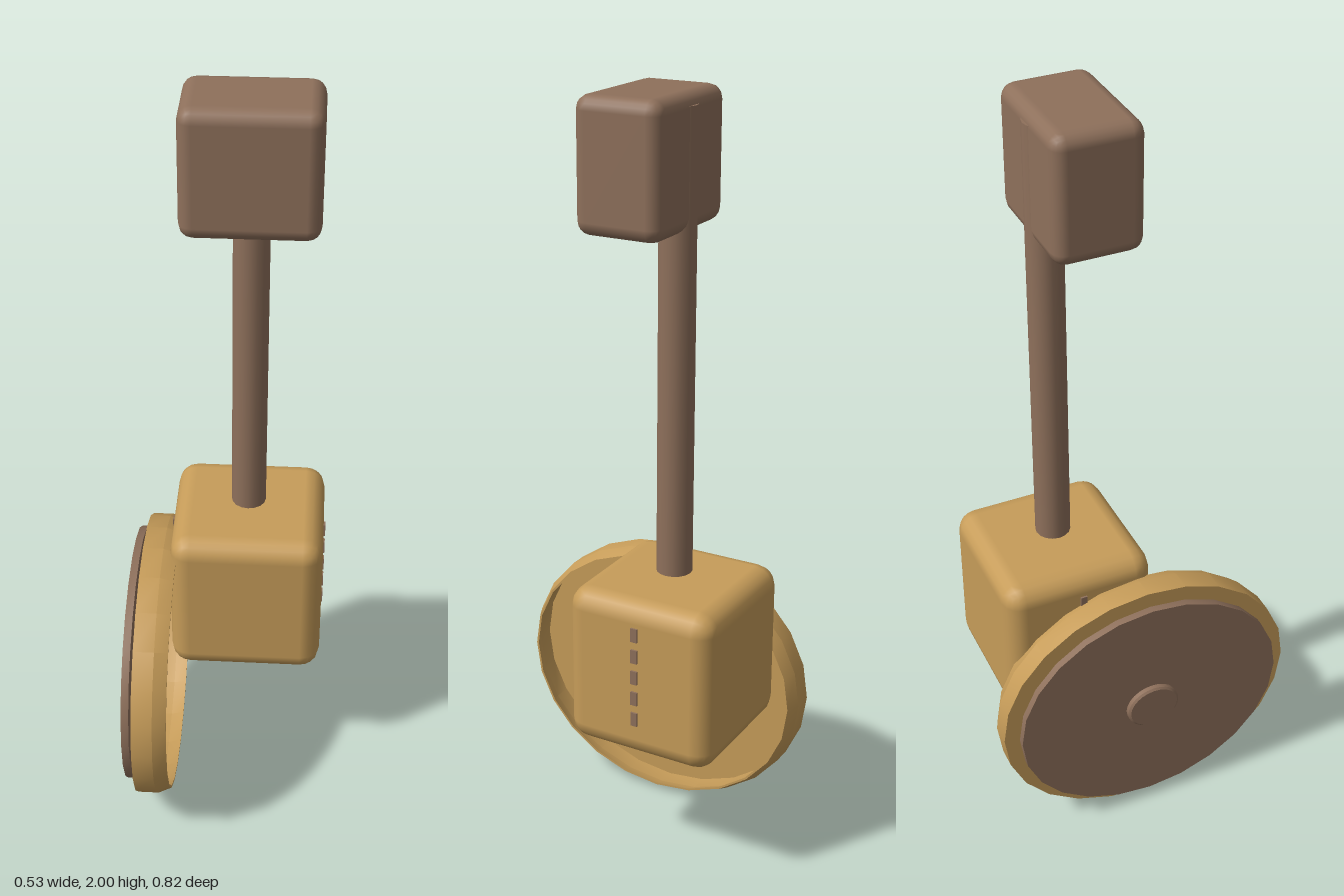
import * as THREE from 'three';
import { toCreasedNormals } from 'three/addons/utils/BufferGeometryUtils.js';
import { RoundedBoxGeometry } from 'three/addons/geometries/RoundedBoxGeometry.js';

export function createModel() {
  const model = new THREE.Group();
  const tan = new THREE.MeshStandardMaterial({ color: 0xc69c59 });
  tan.name = 'tan';
  const brown = new THREE.MeshStandardMaterial({ color: 0x8e705b });
  brown.name = 'brown';

  const add = (name, geometry, material, x = 0, y = 0, z = 0) => {
    const mesh = new THREE.Mesh(geometry, material);
    mesh.name = name;
    mesh.position.set(x, y, z);
    model.add(mesh);
    return mesh;
  };

  // rounded box given by its two corners
  const roundedBox = (name, min, max, radius, material) => {
    const size = max.map((v, i) => v - min[i]);
    const mid = max.map((v, i) => (v + min[i]) / 2);
    add(name, new RoundedBoxGeometry(...size, 2, radius), material, ...mid);
  };

  // round part turned about the x axis, slightly flattened in height;
  // profile pairs are [radius, x]
  const turned = (name, profile, material) => {
    const points = profile.map(([r, x]) => new THREE.Vector2(r, x));
    const geometry = new THREE.LatheGeometry(points, 24);
    geometry.rotateZ(-Math.PI / 2);
    geometry.scale(1, 0.89, 1);
    add(name, toCreasedNormals(geometry, 0.4), material, 0, 0.367, 0);
  };

  // main body and upper block
  roundedBox('body', [-0.147, 0.355, -0.357], [0.26, 0.785, 0.053], 0.053, tan);
  roundedBox('topBlock', [-0.11, 1.675, -0.19], [0.225, 2, 0.037], 0.035, brown);

  // upright rod running up the back of the block
  add('rod', new THREE.CylinderGeometry(0.046, 0.046, 1.17, 16), brown, 0.055, 1.385, -0.15);

  // open dish, facing the body
  turned('dish', [
    [0, -0.22], [0.412, -0.22], [0.412, -0.165], [0.396, -0.13],
    [0.39, -0.13], [0.405, -0.165], [0.405, -0.212], [0, -0.212],
  ], tan);

  // flat disc behind the dish and the hub through both
  turned('disc', [[0, -0.25], [0.373, -0.25], [0.373, -0.23], [0, -0.23]], brown);
  turned('hub', [
    [0, -0.267], [0.068, -0.267], [0.074, -0.262],
    [0.074, -0.21], [0.068, -0.205], [0, -0.205],
  ], brown);

  // row of slots on both sides of the body
  for (const x of [-0.1475, 0.2605]) {
    for (let i = 0; i < 5; i++) {
      add('slot', new THREE.BoxGeometry(0.009, 0.037, 0.018), brown, x, 0.468 + i * 0.059, -0.15);
    }
  }
  return model;
}
